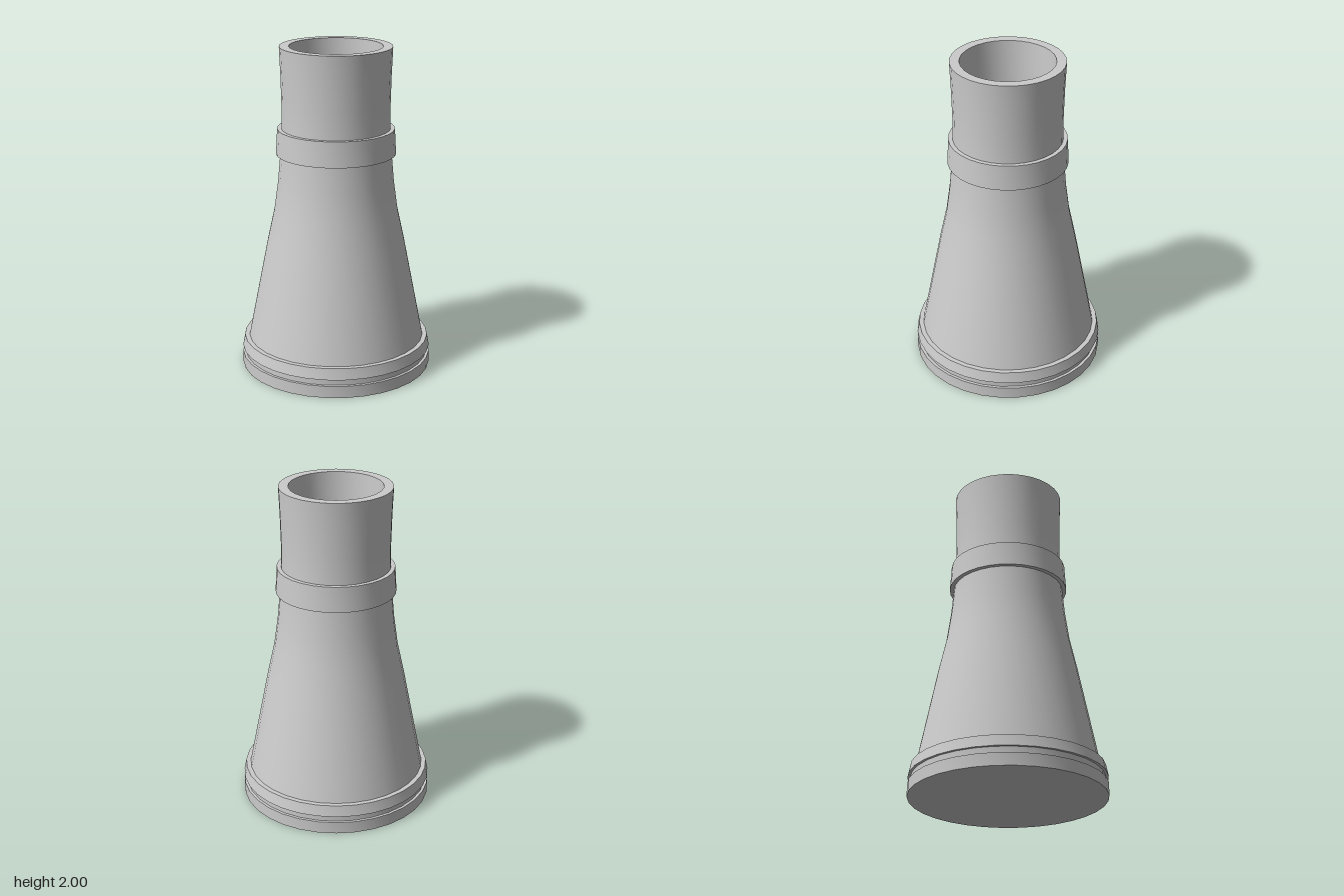
import * as THREE from 'three';
import { toCreasedNormals } from 'three/addons/utils/BufferGeometryUtils.js';

const SIDES = 32;

export function createModel() {
  const group = new THREE.Group();
  const material = new THREE.MeshStandardMaterial({ color: 0xcccccc });

  // Revolve a [radius, height] profile, drawn upwards along the outside
  function turned(name, profile) {
    const points = profile.map(([r, y]) => new THREE.Vector2(r, y));
    const geometry = toCreasedNormals(new THREE.LatheGeometry(points, SIDES), 0.5);
    const mesh = new THREE.Mesh(geometry, material);
    mesh.name = name;
    group.add(mesh);
  }

  // Stepped foot: plinth, recessed groove and bevelled upper band
  turned('base', [
    [0, 0], [0.587, 0], [0.587, 0.075], [0.57, 0.075],
    [0.57, 0.115], [0.587, 0.115], [0.573, 0.183], [0.53, 0.183],
  ]);

  // Tapering stack with a slightly flared mouth and a blind bore
  turned('chimney', [
    [0.547, 0.17], [0.422, 0.8], [0.378, 1.0], [0.353, 1.18], [0.338, 1.35],
    [0.329, 1.5], [0.327, 1.65], [0.331, 1.83], [0.338, 2],
    [0.28, 2], [0.273, 1.75], [0.266, 1.45], [0, 1.45],
  ]);

  // Raised band around the neck
  turned('collar', [
    [0.32, 1.35], [0.364, 1.35], [0.355, 1.505], [0.315, 1.505],
  ]);

  return group;
}
